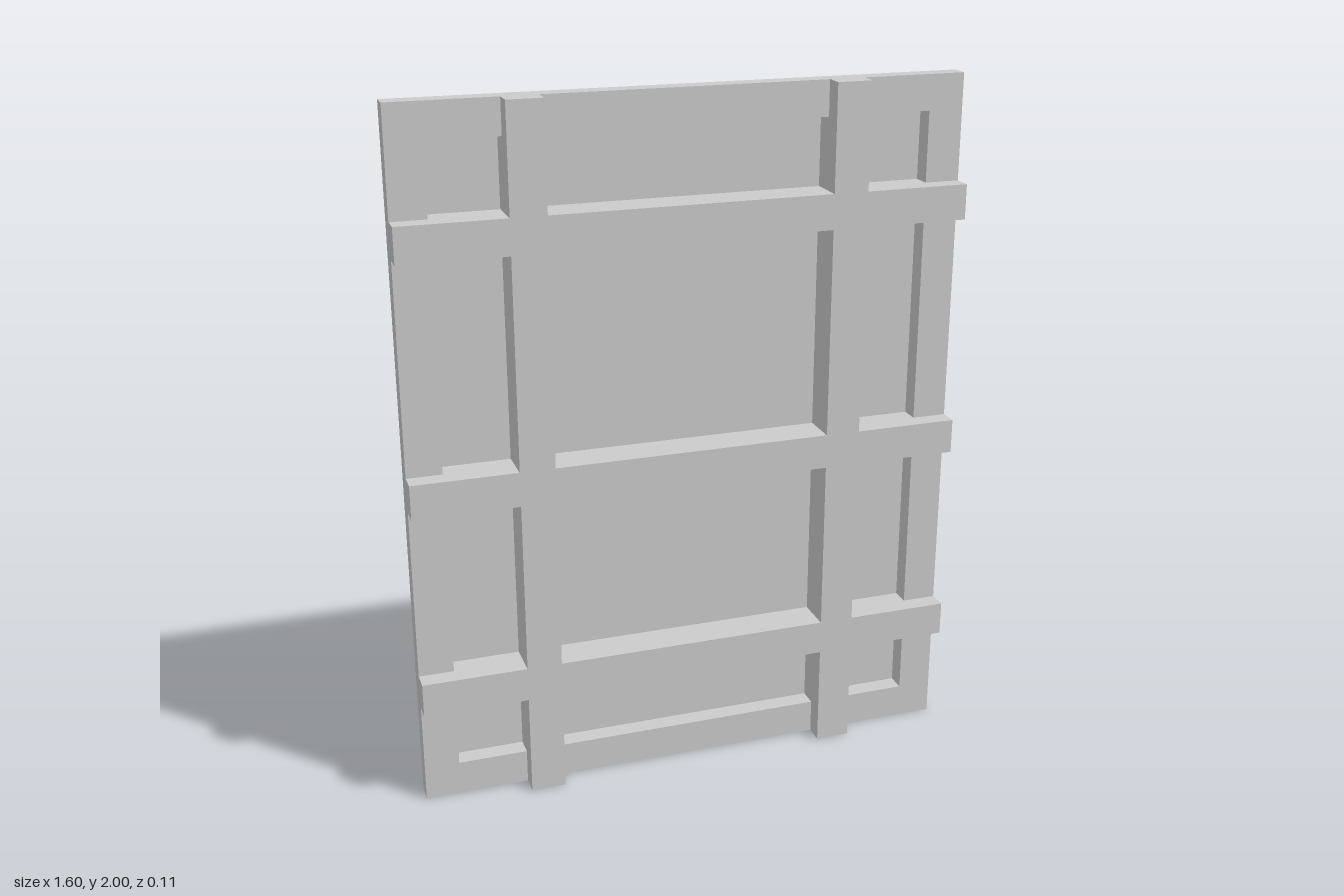
import * as THREE from 'three';

// Grid lines of the lattice, and the three levels of the pressed sheet
const XS = [-0.8, -0.7, -0.5, -0.4, 0.4, 0.5, 0.7, 0.8];
const YS = [0, 0.1, 0.3, 0.4, 0.9, 1, 1.6, 1.7, 1.9, 2];
const LEVEL = { latticeBars: 0.055, borderFrame: 0, recessedPanels: -0.055, outside: -0.055 };
const BAR_COLUMNS = [2, 4];
const BAR_ROWS = [2, 4, 6];
const NX = XS.length - 1;
const NY = YS.length - 1;

// Which part a grid cell belongs to
function partAt(i, j) {
  if (i < 0 || j < 0 || i >= NX || j >= NY) return 'outside';
  if (BAR_COLUMNS.includes(i) || BAR_ROWS.includes(j)) return 'latticeBars';
  if (i === 0 || j === 0 || i === NX - 1 || j === NY - 1) return 'borderFrame';
  return 'recessedPanels';
}

export function createModel() {
  const group = new THREE.Group();
  group.name = 'latticePanel';
  const corners = { latticeBars: [], borderFrame: [], recessedPanels: [] };

  const quad = (part, a, b, c, d) => corners[part].push(...a, ...b, ...c, ...a, ...c, ...d);

  // Upright wall between two neighbouring cells, owned by the higher one
  const wall = (partA, partB, p, q) => {
    const a = LEVEL[partA], b = LEVEL[partB];
    if (a === b) return;
    quad(a > b ? partA : partB, [...p, b], [...q, b], [...q, a], [...p, a]);
  };

  // Flat faces of every cell
  for (let i = 0; i < NX; i++) {
    for (let j = 0; j < NY; j++) {
      const part = partAt(i, j), z = LEVEL[part];
      const [x0, x1, y0, y1] = [XS[i], XS[i + 1], YS[j], YS[j + 1]];
      quad(part, [x0, y0, z], [x1, y0, z], [x1, y1, z], [x0, y1, z]);
    }
  }

  // Walls along the vertical grid lines, including both outer sides
  for (let i = 0; i <= NX; i++) {
    for (let j = 0; j < NY; j++) {
      wall(partAt(i - 1, j), partAt(i, j), [XS[i], YS[j]], [XS[i], YS[j + 1]]);
    }
  }

  // Walls along the horizontal grid lines, including top and bottom
  for (let j = 0; j <= NY; j++) {
    for (let i = 0; i < NX; i++) {
      wall(partAt(i, j - 1), partAt(i, j), [XS[i + 1], YS[j]], [XS[i], YS[j]]);
    }
  }

  // The sheet is hollow behind the bars and border, so both sides show
  const material = new THREE.MeshStandardMaterial({
    color: 0xcccccc, flatShading: true, side: THREE.DoubleSide,
  });
  for (const [name, positions] of Object.entries(corners)) {
    const geometry = new THREE.BufferGeometry();
    geometry.setAttribute('position', new THREE.Float32BufferAttribute(positions, 3));
    geometry.computeVertexNormals();
    const mesh = new THREE.Mesh(geometry, material);
    mesh.name = name;
    group.add(mesh);
  }
  return group;
}
